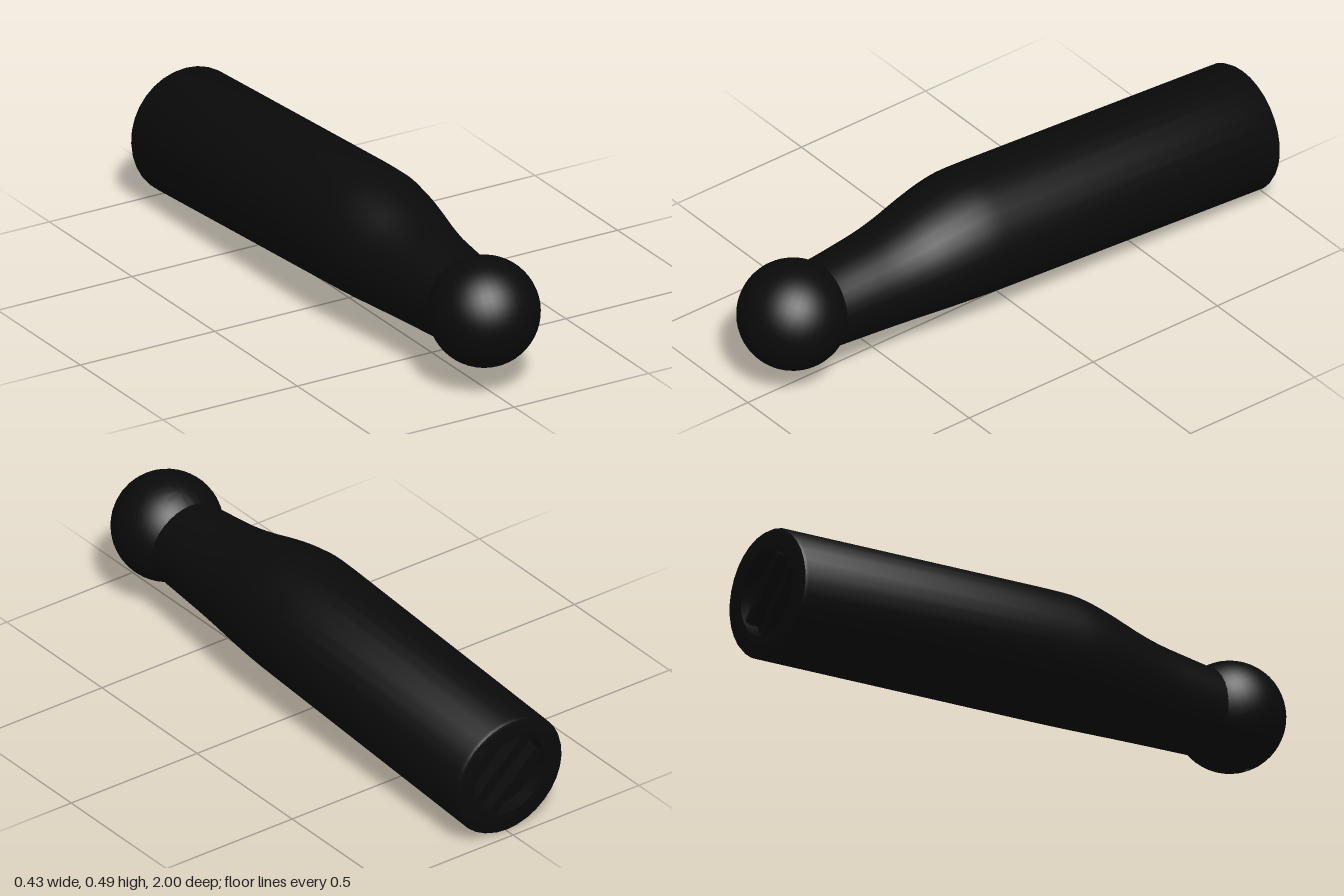
import * as THREE from 'three';
import { toCreasedNormals } from 'three/addons/utils/BufferGeometryUtils.js';

const R = 0.2125;      // grip radius
const TILT = 0.0653;   // grip rises slightly towards the ball

const lathe = (points, segments) =>
  new THREE.LatheGeometry(points.map(([r, y]) => new THREE.Vector2(r, y)), segments);

export function createModel() {
  const black = new THREE.MeshStandardMaterial({ color: 0x0a0a0a });
  black.name = 'black';
  const model = new THREE.Group();
  model.name = 'ballEndedHandle';

  const add = (parent, name, geometry) => {
    const mesh = new THREE.Mesh(toCreasedNormals(geometry, 0.6), black);
    mesh.name = name;
    parent.add(mesh);
    return mesh;
  };

  // Tilted grip assembly, running forward from the centre of its back end
  const grip = new THREE.Group();
  grip.name = 'grip';
  grip.position.set(0, 0.217, -0.985);
  grip.rotation.x = -TILT;
  model.add(grip);

  // Smooth narrowing from the cylinder to the neck
  const neck = new THREE.SplineCurve([
    [R, 1.02], [0.211, 1.12], [0.204, 1.2], [0.191, 1.29],
    [0.174, 1.39], [0.162, 1.48], [0.153, 1.58], [0.144, 1.69], [0.14, 1.76],
  ].map(([r, s]) => new THREE.Vector2(r, s))).getPoints(32).map(p => [p.x, p.y]);

  // Socket floor, socket wall, rim, rounded edge, then the outer surface
  const body = lathe([
    [0, 0.05], [0.14, 0.05], [0.14, 0], [0.198, 0], [0.207, 0.004], [R, 0.014],
    ...neck, [0, 1.76],
  ], 32);
  body.rotateX(Math.PI / 2);
  // Keep the underside straight: lower each narrowing section onto it
  const pos = body.attributes.position;
  const sections = neck.map(([r, s]) => ({ r, s }));
  for (let i = 0; i < pos.count; i++) {
    const s = pos.getZ(i);
    if (s < 1) continue;
    const near = sections.reduce((a, b) => (Math.abs(b.s - s) < Math.abs(a.s - s) ? b : a));
    pos.setY(i, pos.getY(i) - (R - near.r));
  }
  add(grip, 'gripBody', body);

  // Slanted ribs inside the back socket
  for (const offset of [-0.045, 0.045]) {
    const rib = add(grip, 'socketRib', new THREE.BoxGeometry(0.25, 0.03, 0.045));
    rib.position.set(offset * Math.SQRT1_2, offset * Math.SQRT1_2, 0.03);
    rib.rotation.z = -Math.PI / 4;
  }

  // Ball with a small drilled hole low on its front
  const radius = 0.18, hole = 0.02;
  const stop = Math.PI - Math.asin(hole / radius);
  const profile = [];
  for (let i = 0; i <= 24; i++) {
    const a = (stop * i) / 24;
    profile.push([radius * Math.sin(a), -radius * Math.cos(a)]);
  }
  const lip = profile[24][1];
  profile.push([hole, lip - 0.04], [0, lip - 0.04]);
  const ball = add(model, 'ball', lathe(profile, 40));
  ball.position.set(0, 0.27, 0.818);
  ball.rotation.x = 2.708;

  return model;
}
